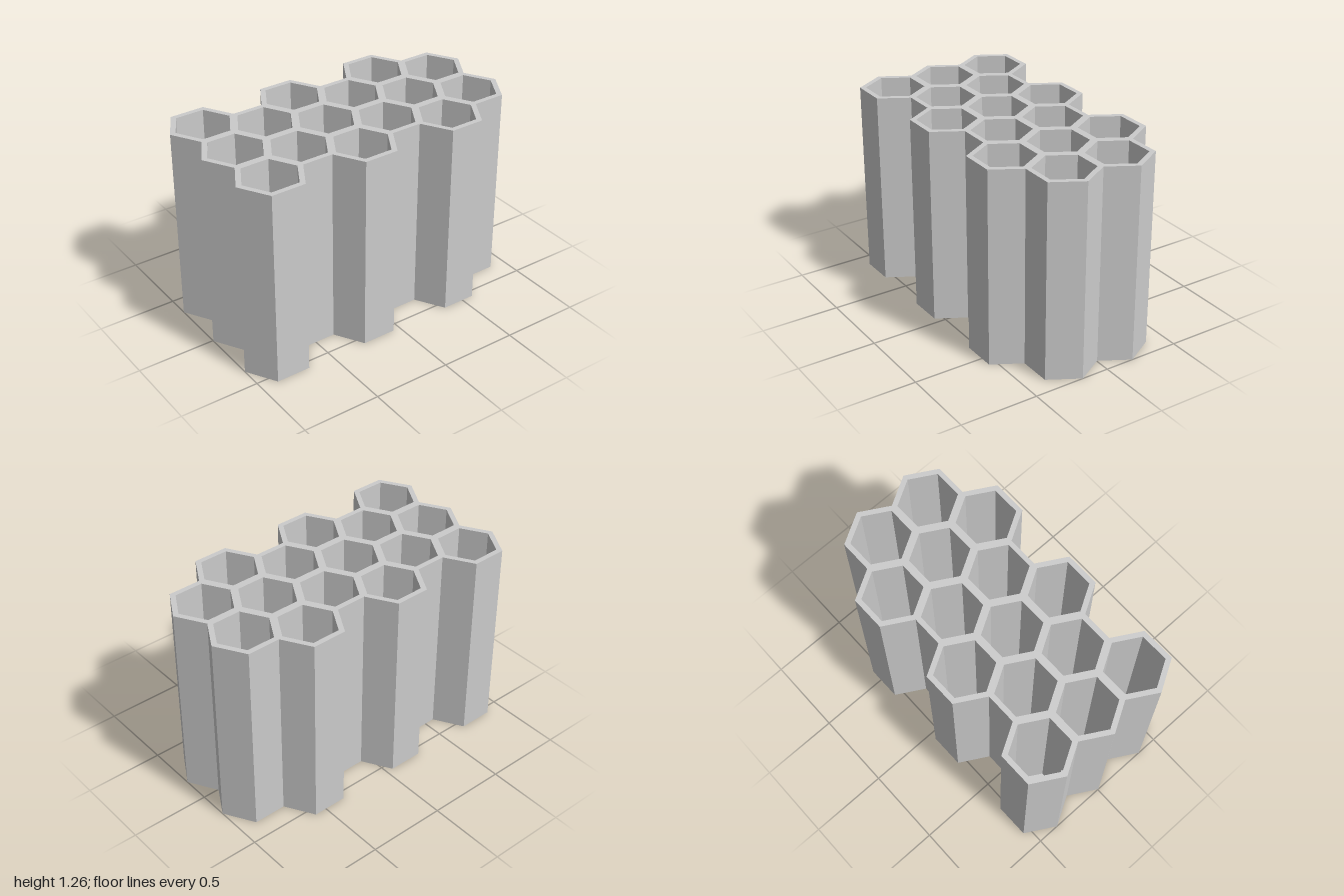
import * as THREE from 'three';

const R = 0.219;                    // outer cell radius
const A = R * Math.sqrt(3) / 2;     // outer cell apothem
const INNER = 0.182;                // radius of the opening
const PITCH = 0.362;                // cell spacing along z
const HEIGHT = 1.26;
const FLOOR = 0.04;
const COLS = 6;
const colX = (i) => -1 + R + i * (2 - 2 * R) / (COLS - 1);

// Shape space: y = -z, with a very slight skew along the block
const pt = (x, z) => new THREE.Vector2(x, -z + 0.005 * x);

// Merged honeycomb outline: front half from left to right, then mirrored
function outline() {
  const low = PITCH / 2 + A;
  const high = PITCH + A;
  const notch = PITCH / 2 / Math.sqrt(3);
  const slope = (low - PITCH) / Math.sqrt(3);
  const left = colX(0) - R;
  const half = [[left, 0], [left + notch, PITCH / 2], [left, PITCH]];
  for (let i = 0; i < COLS; i += 2) {
    const c = colX(i);
    if (i > 0) half.push([c - R + slope, low]);
    half.push([c - R / 2, high], [c + R / 2, high], [c + R - slope, low]);
  }
  const end = colX(COLS - 1);
  half.push([end + R / 2, low], [end + R, PITCH / 2], [end + R - notch, 0]);
  const back = half.slice(1, -1).reverse().map(([x, z]) => [x, -z]);
  return [...half, ...back].map(([x, z]) => pt(x, z));
}

// Three cells in even columns, two in odd ones
function cellCentres() {
  const cells = [];
  for (let i = 0; i < COLS; i++) {
    const n = i % 2 ? 2 : 3;
    for (let j = 0; j < n; j++) cells.push([colX(i), (j - (n - 1) / 2) * PITCH]);
  }
  return cells;
}

function upright(shape, depth) {
  return new THREE.ExtrudeGeometry(shape, { depth, bevelEnabled: false }).rotateX(-Math.PI / 2);
}

export function createModel() {
  const group = new THREE.Group();
  group.name = 'honeycombHolder';
  const material = new THREE.MeshStandardMaterial({ color: 0xcccccc, flatShading: true });
  const add = (name, geometry) => {
    const mesh = new THREE.Mesh(geometry, material);
    mesh.name = name;
    group.add(mesh);
    return mesh;
  };
  const cells = cellCentres();

  // Closed base plate
  add('floor', upright(new THREE.Shape(outline()), FLOOR));

  // Cell walls with hexagonal openings
  const walls = new THREE.Shape(outline());
  for (const [cx, cz] of cells) {
    const hole = [];
    for (let k = 0; k < 6; k++) {
      const a = k * Math.PI / 3;
      hole.push(pt(cx + INNER * Math.cos(a), cz + INNER * Math.sin(a)));
    }
    walls.holes.push(new THREE.Path(hole));
  }
  add('cellWalls', upright(walls, HEIGHT - FLOOR)).position.y = FLOOR;

  // Narrow ridge on the front left wall of each cell
  const ridgeHeight = 0.6;
  const ridge = new THREE.BoxGeometry(0.03, ridgeHeight, 0.165).rotateY(Math.PI / 6);
  const reach = INNER * Math.sqrt(3) / 2 - 0.014;
  for (const [cx, cz] of cells) {
    add('cellRidge', ridge).position.set(
      cx - reach * Math.cos(Math.PI / 6), FLOOR + ridgeHeight / 2,
      cz + reach * Math.sin(Math.PI / 6) - 0.005 * cx);
  }
  return group;
}
